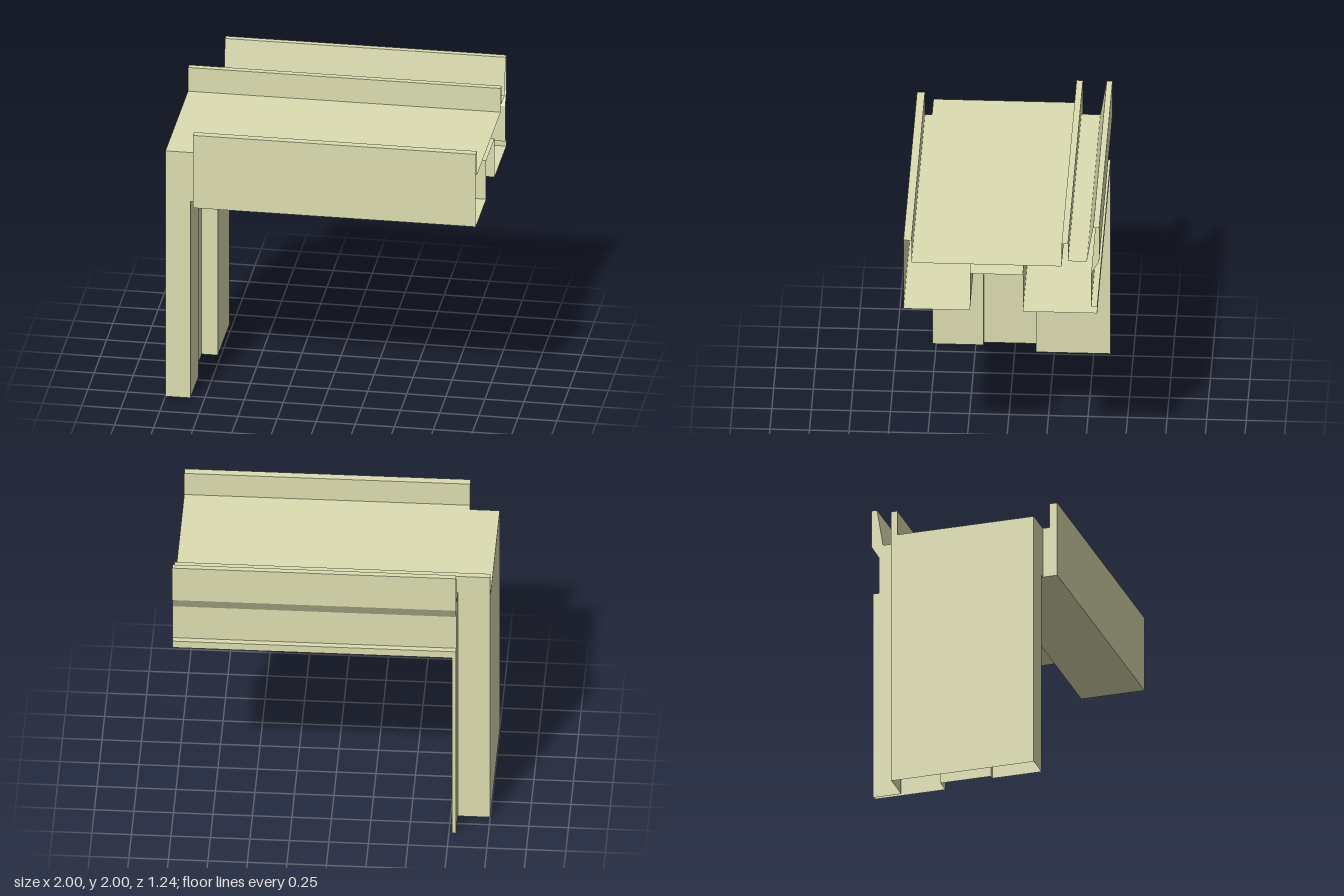
import * as THREE from 'three';

const material = new THREE.MeshStandardMaterial({ color: 0xdedeb2, side: THREE.DoubleSide, flatShading: true });

// Sheet made by carrying a 2D path from one end to the other; place(a, b, t) gives the 3D point.
function sheet(path, t0, t1, place) {
  const pos = [];
  for (let i = 0; i + 1 < path.length; i++) {
    const [p, q] = [path[i], path[i + 1]];
    const [p0, p1, q1, q0] = [place(...p, t0), place(...p, t1), place(...q, t1), place(...q, t0)];
    pos.push(...p0, ...p1, ...q1, ...p0, ...q1, ...q0);
  }
  const g = new THREE.BufferGeometry();
  g.setAttribute('position', new THREE.Float32BufferAttribute(pos, 3));
  g.computeVertexNormals();
  return g;
}

// Path in (z, y) running along x
const along = (path, x0, x1 = 1) => sheet(path, x0, x1, (z, y, x) => [x, y, z]);
// Path in (x, z) rising along y
const upright = (path, y0, y1) => sheet(path, y1, y0, (x, z, y) => [x, y, z]);
// Flat end in (z, y) facing -x
const cap = (path, x) => new THREE.ShapeGeometry(new THREE.Shape(path.map(p => new THREE.Vector2(...p))))
  .rotateY(-Math.PI / 2).translate(x, 0, 0);

export function createModel() {
  const model = new THREE.Group();
  const add = (name, ...geometries) => {
    const part = new THREE.Group();
    part.name = name;
    for (const g of geometries) {
      const mesh = new THREE.Mesh(g, material);
      mesh.name = name + 'Sheet';
      part.add(mesh);
    }
    model.add(part);
  };

  const under = 1.37, deck = 1.71, rail = 1.875, slot = 1.64;   // heights
  const front = 0.525, back = -0.42, lip = -0.605;              // leg and deck depth limits
  const slotF = 0.2, slotB = -0.135, slotX = -0.873;            // channel
  const frontX = -0.84, beamX = -0.81, rearX = -0.77, flangeX = -0.795;

  // Front fascia with its upstand, closed at the leg end
  const fascia = [[front, under], [0.62, under], [0.62, rail], [0.57, rail], [0.57, deck], [front, deck]];
  add('frontFascia', along(fascia, beamX), cap(fascia, beamX));

  // Deck and the inner rail
  add('deck', along([[front, deck], [-0.38, deck]], -1));
  add('innerRail', along([[-0.38, deck], [-0.38, rail], [back, rail]], -1),
    along([[back, rail], [back, 1.75]], flangeX));

  // Rear ledge with a tall flared upstand and a bottom lip
  const ledge = [[back, 1.75], [-0.54, 1.75], [-0.58, 2], [-0.617, 2], [-0.617, 1.75],
    [-0.567, 1.665], [-0.567, 1.42], [lip, 1.42], [lip, under]];
  add('rearUpstand', along(ledge, flangeX), cap([...ledge, [back, under]], flangeX));

  // Underside with the channel
  add('underside', along([[lip, under], [slotB, under]], rearX), along([[slotF, under], [front, under]], frontX));
  add('deckChannel', along([[slotB, under], [slotB, slot], [slotF, slot], [slotF, under]], slotX));

  // Upright leg: open at the bottom, with the channel continued down its inner side
  add('legFront', upright([[-1, front], [frontX, front]], 0, deck),
    upright([[frontX, front], [beamX, front]], under, deck));
  add('legInnerFace', upright([[frontX, front], [frontX, slotF], [slotX, slotF]], 0, under),
    upright([[slotX, slotB], [rearX, slotB], [rearX, lip]], 0, under));
  add('legChannel', upright([[slotX, slotF], [slotX, slotB]], 0, slot));
  add('legFlange', upright([[rearX, lip], [flangeX, lip], [flangeX, back]], 0, under));
  add('legBack', upright([[flangeX, back], [-1, back]], 0, rail));
  add('legOuterFace', cap([[back, 0], [front, 0], [front, deck], [-0.38, deck], [-0.38, rail], [back, rail]], -1));

  return model;
}
